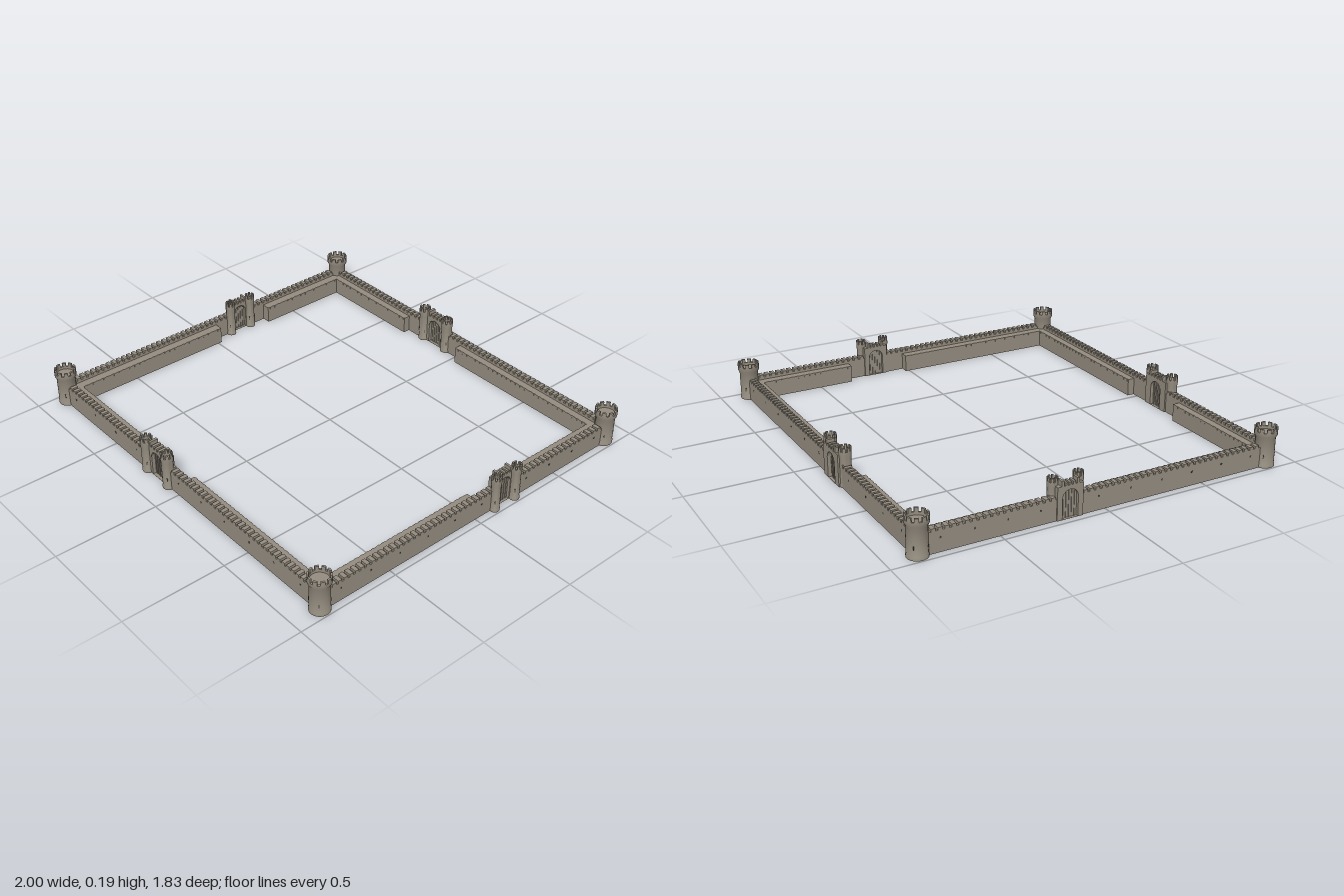
import * as THREE from 'three';
import { mergeGeometries, toCreasedNormals } from 'three/addons/utils/BufferGeometryUtils.js';

const stone = new THREE.MeshStandardMaterial({ color: 0x948c7f });
stone.name = 'stone';
const slitDark = new THREE.MeshStandardMaterial({ color: 0x4a463f });
slitDark.name = 'dark slit';

function add(parent, name, geometry, material = stone) {
  const mesh = new THREE.Mesh(geometry, material);
  mesh.name = name;
  parent.add(mesh);
  return mesh;
}

// Box given by its limits on each axis
function block(x0, x1, y0, y1, z0, z1) {
  return new THREE.BoxGeometry(x1 - x0, y1 - y0, z1 - z0)
    .translate((x0 + x1) / 2, (y0 + y1) / 2, (z0 + z1) / 2);
}

// Round tower with a corbelled, crenellated head
function tower(name, r, head, merlons) {
  const group = new THREE.Group();
  group.name = name;
  const inner = head - 0.009;
  const profile = [
    [0, 0], [r + 0.002, 0], [r + 0.002, 0.012], [r, 0.016], [r, 0.138], [head, 0.15],
    [head, 0.168], [inner, 0.168], [inner, 0.155], [0, 0.155],
  ].map(([x, y]) => new THREE.Vector2(x, y));
  add(group, 'towerShaft', toCreasedNormals(new THREE.LatheGeometry(profile, 24), 0.6));

  // Curved merlons around the rim
  const step = (Math.PI * 2) / merlons;
  const teeth = [];
  for (let i = 0; i < merlons; i++) {
    const a = i * step, b = a + step * 0.6;
    const shape = new THREE.Shape();
    shape.absarc(0, 0, head, a, b, false);
    shape.absarc(0, 0, inner, b, a, true);
    teeth.push(new THREE.ExtrudeGeometry(shape, { depth: 0.019, bevelEnabled: false, curveSegments: 3 })
      .rotateX(-Math.PI / 2).translate(0, 0.167, 0));
  }
  add(group, 'towerMerlons', mergeGeometries(teeth));

  // Arrow slits on four sides
  const slits = [];
  for (let i = 0; i < 4; i++) {
    slits.push(block(-0.002, 0.002, 0.045, 0.063, r - 0.003, r + 0.001).rotateY(Math.PI / 4 + i * Math.PI / 2));
  }
  add(group, 'towerSlits', mergeGeometries(slits), slitDark);
  return group;
}

// Gatehouse slab with an arched recess, barred door and two towers, facing +z
function gate(span, depth, r, towerZ) {
  const group = new THREE.Group();
  group.name = 'gatehouse';
  const w = span / 2, top = 0.152;
  const a = Math.min(0.038, w - r + 0.003), spring = 0.095;

  const face = new THREE.Shape([[-w, 0], [w, 0], [w, top], [-w, top]].map(([x, y]) => new THREE.Vector2(x, y)));
  const arch = new THREE.Path();
  arch.moveTo(-a, 0.001);
  arch.lineTo(a, 0.001);
  arch.lineTo(a, spring);
  arch.absarc(0, spring, a, 0, Math.PI, false);
  arch.lineTo(-a, 0.001);
  face.holes.push(arch);
  add(group, 'gateArch', new THREE.ExtrudeGeometry(face, { depth, bevelEnabled: false, curveSegments: 10 })
    .translate(0, 0, -depth / 2));
  const ring = new THREE.TorusGeometry(a + 0.002, 0.002, 4, 14, Math.PI).translate(0, spring, depth / 2);
  add(group, 'archMoulding', ring);

  // Door leaf and its upright bars
  add(group, 'gateDoor', block(-a - 0.002, a + 0.002, 0, spring + a + 0.003, -0.004, 0.004));
  const bars = [];
  for (let i = -2; i <= 2; i++) {
    const x = i * a * 0.36;
    const h = spring + Math.sqrt(a * a - x * x);
    bars.push(block(x - 0.0015, x + 0.0015, 0, h, -0.007, 0.007));
  }
  add(group, 'gateBars', mergeGeometries(bars));

  // Crenellated top, taller at the ends
  const teeth = [];
  for (let i = 0; i < 5; i++) {
    const x = (i - 2) * span * 0.15;
    const h = i === 0 || i === 4 ? 0.176 : 0.165;
    teeth.push(block(x - span * 0.045, x + span * 0.045, top - 0.001, h, -depth / 2, depth / 2));
  }
  add(group, 'gateMerlons', mergeGeometries(teeth));

  for (const side of [-1, 1]) {
    const t = tower('gateTower', r - 0.002, r, 8);
    t.position.set(side * w, 0, towerZ);
    group.add(t);
  }
  return group;
}

// One straight wall: x runs along it, +z points outwards
function wall(name, o) {
  const group = new THREE.Group();
  group.name = name;
  const { half, inner, mid, outer, gap, gates } = o;
  const gateMin = gates[0], gateMax = gates[1];

  // Curtain wall on both sides of the gatehouse
  for (const [x0, x1] of [[-half, gateMin], [gateMax, half]]) {
    add(group, 'curtainWall', block(x0, x1, 0, 0.097, mid, outer));
    const teeth = [];
    const count = Math.round((x1 - x0) / 0.03);
    const step = (x1 - x0) / count;
    for (let i = 0; i < count; i++) {
      const x = x0 + (i + 0.5) * step;
      teeth.push(block(x - step * 0.32, x + step * 0.32, 0.096, 0.109, mid, outer));
    }
    add(group, 'wallMerlons', mergeGeometries(teeth));
    const slits = [];
    const slitCount = Math.max(1, Math.round((x1 - x0) / 0.17));
    for (let i = 0; i < slitCount; i++) {
      const x = x0 + (i + 0.5) * (x1 - x0) / slitCount;
      slits.push(block(x - 0.004, x + 0.004, 0.061, 0.069, outer - 0.003, outer + 0.001));
    }
    add(group, 'wallSlits', mergeGeometries(slits), slitDark);
  }

  // Walkway behind the parapet, stopping short of the gatehouse
  for (const [x0, x1] of [[-half, gap[0]], [gap[1], half]]) {
    add(group, 'wallWalk', block(x0, x1, 0, 0.085, inner + 0.002, mid + 0.001));
    const corbels = [];
    for (let x = x0 + 0.015; x < x1 - 0.01; x += 0.03) {
      corbels.push(block(x - 0.007, x + 0.007, 0.073, 0.085, inner, inner + 0.004));
    }
    add(group, 'walkCorbels', mergeGeometries(corbels));
  }

  const house = gate(gateMax - gateMin, o.gateDepth, o.gateRadius, o.towerOffset);
  house.position.set((gateMin + gateMax) / 2, 0, o.gateZ);
  if (o.flip) house.rotation.y = Math.PI;
  group.add(house);
  group.rotation.y = o.turn;
  return group;
}

export function createModel() {
  const model = new THREE.Group();
  model.name = 'castleWalls';

  // Long walls at front and back, with the rear gatehouse turned inwards
  const long = { half: 0.93, inner: 0.805, mid: 0.842, outer: 0.876, gateDepth: 0.042, gateRadius: 0.029 };
  model.add(wall('frontWall', {
    ...long, gap: [-0.345, 0.03], gates: [-0.24, -0.08], gateZ: 0.856, towerOffset: 0.016, turn: 0,
  }));
  model.add(wall('backWall', {
    ...long, gap: [-0.03, 0.345], gates: [0.08, 0.24], gateZ: 0.866, towerOffset: 0.014, flip: true, turn: Math.PI,
  }));

  // Side walls, with the right gatehouse turned inwards
  const side = { half: 0.845, inner: 0.888, mid: 0.932, outer: 0.966, gateDepth: 0.036, gateRadius: 0.024 };
  model.add(wall('leftWall', {
    ...side, gap: [0.02, 0.33], gates: [0.113, 0.238], gateZ: 0.943, towerOffset: 0.027, turn: Math.PI / 2,
  }));
  model.add(wall('rightWall', {
    ...side, gap: [-0.33, -0.02], gates: [-0.238, -0.113], gateZ: 0.953, towerOffset: 0.025, flip: true,
    turn: -Math.PI / 2,
  }));

  // Corner towers
  for (const x of [-1, 1]) {
    for (const z of [-1, 1]) {
      const t = tower('cornerTower', 0.045, 0.052, 10);
      t.position.set(x * 0.948, 0, z * 0.861);
      model.add(t);
    }
  }
  return model;
}
